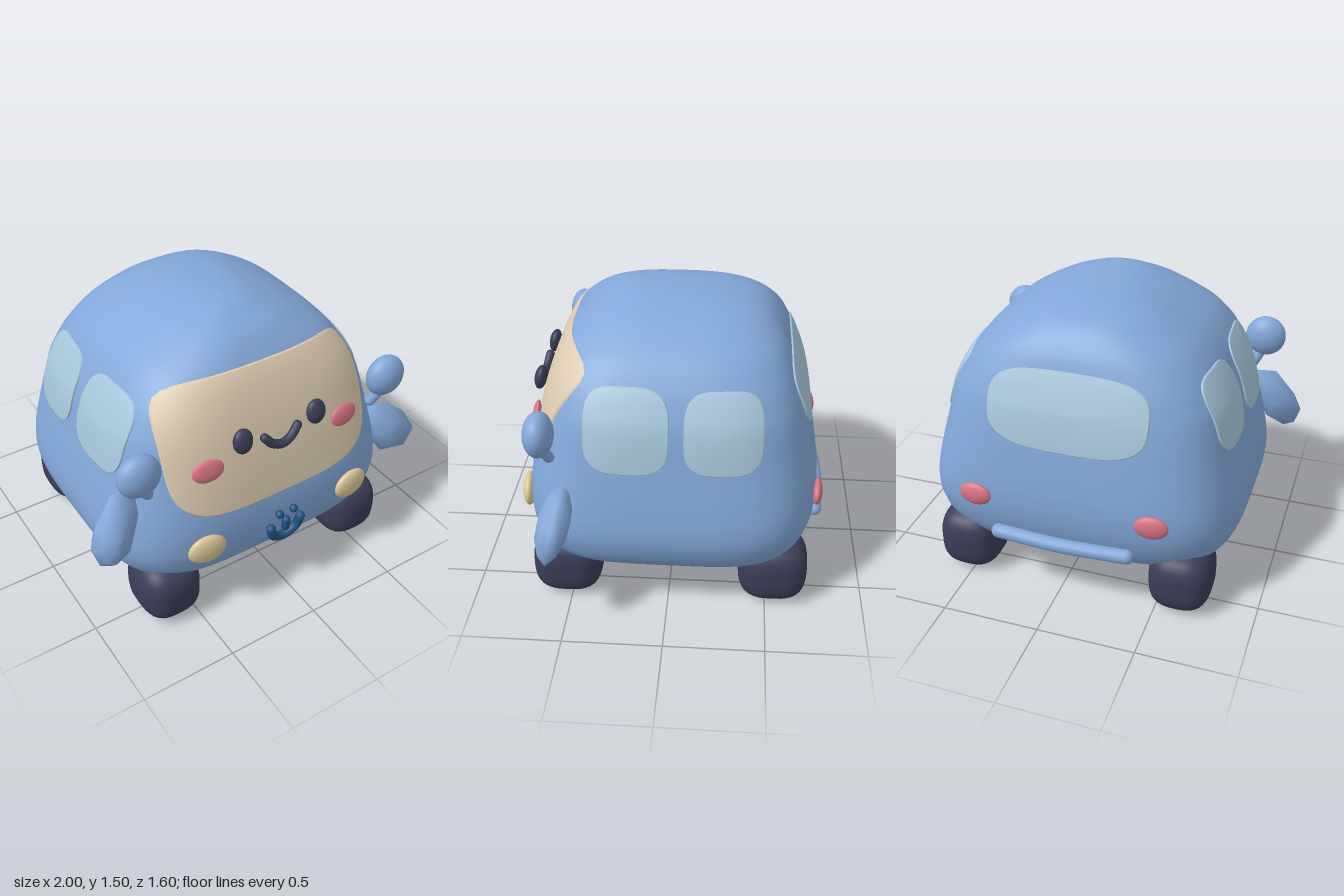
import * as THREE from 'three';
import { mergeGeometries } from 'three/addons/utils/BufferGeometryUtils.js';

const mat = (name, color) => new THREE.MeshStandardMaterial({ name, color });
const V = (x, y, z) => new THREE.Vector3(x, y, z);

// Unit point on a superellipse of exponent n
function squircle(t, n) {
  const c = Math.cos(t), s = Math.sin(t);
  const k = Math.pow(Math.abs(c) ** n + Math.abs(s) ** n, -1 / n);
  return [c * k, s * k];
}

// Skin over closed rings of equal point count
function loft(rings) {
  const n = rings[0].length, index = [];
  for (let i = 0; i < rings.length - 1; i++) {
    for (let j = 0; j < n; j++) {
      const a = i * n + j, b = i * n + (j + 1) % n;
      index.push(a, a + n, b, b, a + n, b + n);
    }
  }
  const geo = new THREE.BufferGeometry().setFromPoints(rings.flat());
  geo.setIndex(index);
  geo.computeVertexNormals();
  return geo;
}

// Body sections from underside to roof: half width, front z, back z, height
const sections = [
  [0, 0, 0, 0.2], [0.3, 0.28, -0.3, 0.2], [0.56, 0.51, -0.53, 0.203], [0.7, 0.63, -0.64, 0.235],
  [0.775, 0.695, -0.7, 0.3], [0.815, 0.73, -0.738, 0.4], [0.82, 0.74, -0.753, 0.5],
  [0.798, 0.73, -0.748, 0.63], [0.75, 0.69, -0.713, 0.82], [0.705, 0.645, -0.67, 1.0],
  [0.66, 0.615, -0.635, 1.1], [0.6, 0.578, -0.595, 1.2], [0.51, 0.525, -0.545, 1.3],
  [0.35, 0.43, -0.45, 1.4], [0.22, 0.33, -0.3, 1.455], [0.11, 0.26, -0.08, 1.484], [0, 0.17, 0.17, 1.495],
];
const shapeCurve = new THREE.CatmullRomCurve3(sections.map(s => V(s[0], s[1], s[2])), false, 'catmullrom');
const heightCurve = new THREE.CatmullRomCurve3(sections.map(s => V(0, s[3], 0)), false, 'catmullrom');
const ROWS = 96;
const levels = Array.from({ length: ROWS + 1 }, (_, i) => {
  const p = shapeCurve.getPoint(i / ROWS), y = heightCurve.getPoint(i / ROWS).y;
  return { y, a: Math.max(p.x, 0), b: (p.y - p.z) / 2, c: (p.y + p.z) / 2, n: 4 - 1.3 * THREE.MathUtils.smoothstep(y, 1.1, 1.495) };
});

function bodyGeometry() {
  return loft(levels.map(({ y, a, b, c, n }) => Array.from({ length: 96 }, (_, j) => {
    const [u, v] = squircle(j / 96 * Math.PI * 2, n);
    return V(u * a, y, c + v * b);
  })));
}

// Body section at a given height
function levelAt(y) {
  const i = levels.findIndex(l => l.y > y && l.y > 0.25), p = levels[i - 1], q = levels[i];
  const t = (y - p.y) / (q.y - p.y), mix = k => p[k] + (q[k] - p[k]) * t;
  return { a: mix('a'), b: mix('b'), c: mix('c'), n: mix('n') };
}
const rest = (q, n) => Math.pow(Math.max(0, 1 - Math.abs(q) ** n), 1 / n);

// Points lying on the body, lifted outwards by h
const onEnd = dir => (u, y, h) => {
  const l = levelAt(y);
  return V(u * dir, y, l.c + dir * (l.b * rest(u / l.a, l.n) + h));
};
const onSide = dir => (u, y, h) => {
  const l = levelAt(y), z = -u * dir;
  return V(dir * (l.a * rest((z - l.c) / l.b, l.n) + h), y, z);
};

// Thin rounded pane that follows the body
function pane(place, cu, cy, ru, ry, n = 4) {
  const rings = [0, 0.15, 0.3, 0.45, 0.6, 0.75, 0.87, 0.95, 0.985, 1, 1].map((r, i) =>
    Array.from({ length: 64 }, (_, j) => {
      const [u, v] = squircle(j / 64 * Math.PI * 2, n);
      return place(cu + u * ru * r, cy + v * ry * r, i === 10 ? -0.008 : 0.008 + 0.008 * (1 - r * r));
    }));
  return loft(rings);
}

// Box-like ball for the tyres
function softBlock(rx, ry, rz, n) {
  const geo = new THREE.SphereGeometry(1, 40, 28), p = geo.attributes.position, v = V(0, 0, 0);
  for (let i = 0; i < p.count; i++) {
    v.fromBufferAttribute(p, i);
    const k = Math.pow(Math.abs(v.x) ** n + Math.abs(v.y) ** n + Math.abs(v.z) ** n, -1 / n);
    p.setXYZ(i, v.x * k * rx, v.y * k * ry, v.z * k * rz);
  }
  geo.computeVertexNormals();
  return geo;
}

const ball = (rx, ry, rz) => new THREE.SphereGeometry(1, 28, 18).scale(rx, ry, rz);

// Round-ended rod through points
function rod(points, r) {
  const ends = [points[0], points[points.length - 1]];
  return mergeGeometries([
    new THREE.TubeGeometry(new THREE.CatmullRomCurve3(points), 24, r, 14),
    ...ends.map(p => new THREE.SphereGeometry(r, 14, 10).translate(p.x, p.y, p.z)),
  ]);
}

// Pillow-shaped arm from a front outline, leaning back at the top
function armGeometry(outline, zc) {
  const cx = outline.reduce((s, p) => s + p[0], 0) / outline.length;
  const cy = outline.reduce((s, p) => s + p[1], 0) / outline.length;
  const layers = [[0, 0.08], [0.4, 0.075], [0.78, 0.045], [1, 0], [0.78, -0.045], [0.4, -0.075], [0, -0.08]];
  return loft(layers.map(([k, dz]) => outline.map(([x, y]) => {
    const py = cy + (y - cy) * k;
    return V(cx + (x - cx) * k, py, zc + dz - 0.2 * (py - cy));
  })));
}

export function createModel() {
  const blue = mat('bodyBlue', 0x82a7d8), cream = mat('faceCream', 0xdccab0), glass = mat('windowGlass', 0xa6c6da);
  const dark = mat('darkNavy', 0x3b3e58), pink = mat('pink', 0xdb7485), lamp = mat('lampYellow', 0xdcc898);
  const deep = mat('deepBlue', 0x1f5482);

  const model = new THREE.Group();
  model.name = 'smilingCar';
  const car = new THREE.Group();
  car.name = 'car';
  car.position.x = -0.04;
  model.add(car);
  const add = (name, geo, material, x = 0, y = 0, z = 0, parent = car) => {
    const mesh = new THREE.Mesh(geo, material);
    mesh.name = name;
    mesh.position.set(x, y, z);
    parent.add(mesh);
    return mesh;
  };

  add('body', bodyGeometry(), blue);
  add('facePanel', pane(onEnd(1), 0, 0.98, 0.58, 0.33), cream);
  add('rearWindow', pane(onEnd(-1), 0, 1.035, 0.405, 0.185, 3.2), glass);

  for (const s of [1, -1]) {
    const side = s > 0 ? 'left' : 'right';
    // Side windows
    add(side + 'FrontWindow', pane(onSide(s), -0.197 * s, 1.005, 0.205, 0.195, 3.6), glass);
    add(side + 'RearWindow', pane(onSide(s), 0.267 * s, 1.005, 0.188, 0.187, 3.6), glass);

    // Wheels
    add(side + 'FrontWheel', softBlock(0.16, 0.17, 0.178, 3), dark, s * 0.57, 0.17, 0.525);
    add(side + 'RearWheel', softBlock(0.16, 0.17, 0.178, 3), dark, s * 0.57, 0.17, -0.535);

    // Eyes and cheeks
    add(side + 'Eye', ball(0.053, 0.065, 0.032), dark, s * 0.212, 1.025, 0.685).rotation.x = -0.2;
    add(side + 'Cheek', ball(0.083, 0.058, 0.02), pink, s * 0.398, 0.923, 0.677).rotation.set(-0.2, 0.12 * s, 0);

    // Lamps
    add(side + 'Headlight', ball(0.102, 0.082, 0.034), lamp, s * 0.44, 0.49, 0.737).rotation.y = 0.1 * s;
    add(side + 'TailLight', ball(0.085, 0.06, 0.028), pink, s * 0.453, 0.55, -0.745).rotation.y = -0.06 * s;

    // Mirrors
    add(side + 'Mirror', ball(0.11, 0.112, 0.074), blue, s * 0.72, 0.995, 0.605);
    add(side + 'MirrorStem', rod([V(s * 0.71, 0.93, 0.6), V(s * 0.69, 0.88, 0.59), V(s * 0.665, 0.835, 0.575)], 0.028), blue);
  }

  // Mouth
  add('smile', rod([V(-0.095, 1, 0.695), V(-0.055, 0.957, 0.705), V(0, 0.938, 0.71), V(0.055, 0.957, 0.705), V(0.095, 1, 0.695)], 0.023), dark);

  // Beaded ornament on the nose
  const ornament = new THREE.Group();
  ornament.name = 'noseOrnament';
  car.add(ornament);
  for (const s of [1, -1]) add('bead', ball(0.022, 0.022, 0.022), deep, s * 0.042, 0.546, 0.777, ornament);
  add('pin', rod([V(0, 0.49, 0.778), V(0, 0.44, 0.772)], 0.022), deep, 0, 0, 0, ornament);
  add('arc', rod([V(-0.09, 0.47, 0.775), V(-0.07, 0.405, 0.765), V(0, 0.367, 0.755), V(0.07, 0.405, 0.765), V(0.09, 0.47, 0.775)], 0.024), deep, 0, 0, 0, ornament);

  // Rear bumper
  add('rearBumper', rod([V(-0.335, 0.355, -0.75), V(0, 0.355, -0.768), V(0.335, 0.355, -0.75)], 0.037), blue);

  // Arms: one hangs, one reaches out
  add('leftArm', armGeometry([[0.7, 0.73], [0.66, 0.68], [0.66, 0.57], [0.76, 0.43], [0.92, 0.4], [1, 0.49], [0.93, 0.61], [0.82, 0.7]], 0.535), blue, 0, 0, 0, model);
  add('rightArm', armGeometry([[-0.74, 0.83], [-0.85, 0.84], [-0.96, 0.7], [-1, 0.6], [-0.97, 0.5], [-0.91, 0.47], [-0.81, 0.52], [-0.73, 0.71]], 0.535), blue, 0, 0, 0, model);

  return model;
}
